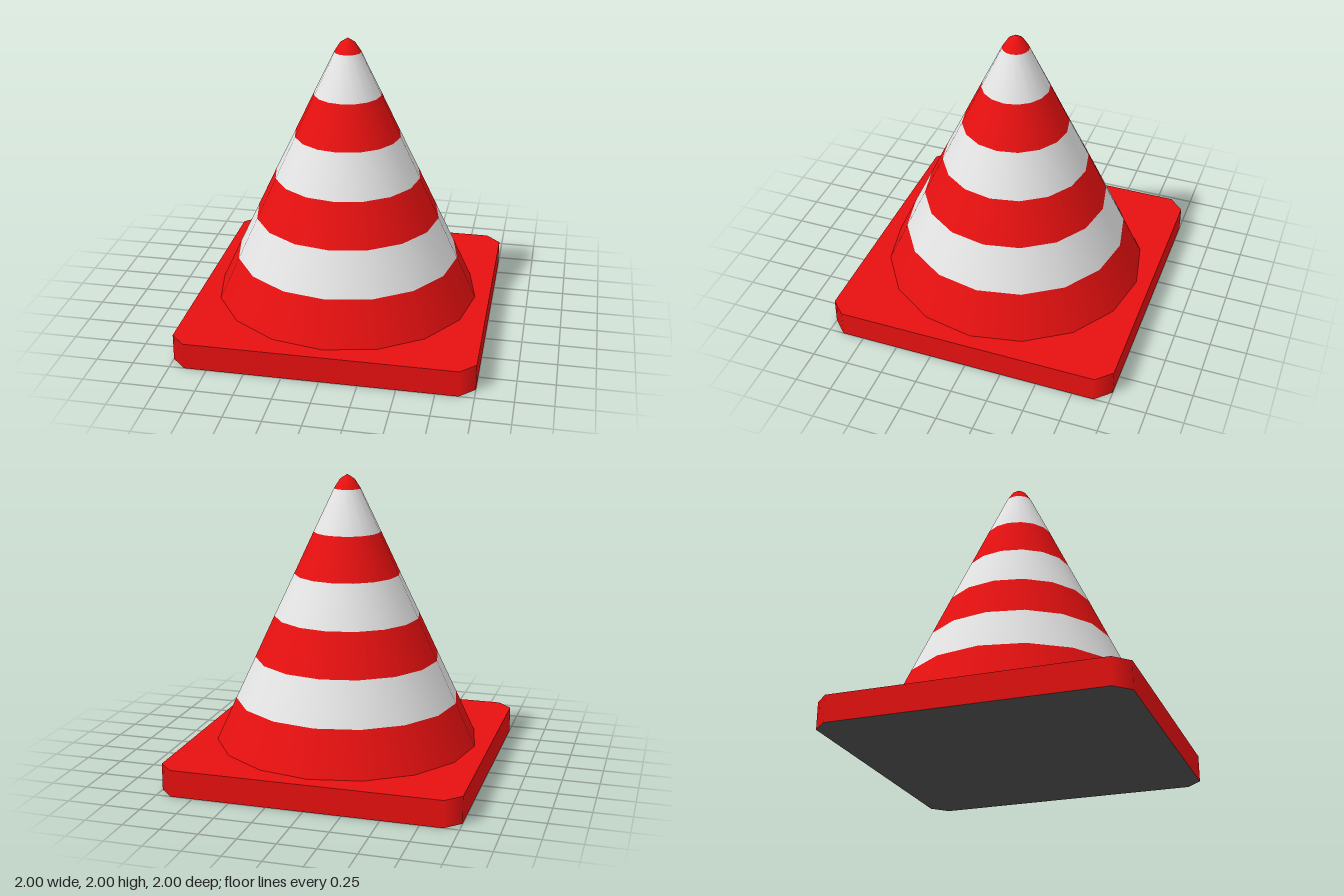
import * as THREE from 'three';

const mat = (name, color) => {
  const m = new THREE.MeshStandardMaterial({ color });
  m.name = name;
  return m;
};

export function createModel() {
  const red = mat('red', 0xe81010);
  const white = mat('white', 0xe5e5e5);
  const dark = mat('dark underside', 0x525252);
  const group = new THREE.Group();
  group.name = 'trafficCone';

  const add = (name, geometry, material) => {
    const mesh = new THREE.Mesh(geometry, material);
    mesh.name = name;
    group.add(mesh);
  };
  const lathe = (points) =>
    new THREE.LatheGeometry(points.map(([r, y]) => new THREE.Vector2(r, y)), 16);

  // Square base plate with cut corners
  const outline = [[0.9, -1], [1, -0.9], [1, 0.9], [0.9, 1], [-0.9, 1], [-1, 0.9], [-1, -0.9], [-0.9, -1]];
  const shape = new THREE.Shape(outline.map(([x, y]) => new THREE.Vector2(x, y)));
  const base = new THREE.ExtrudeGeometry(shape, { depth: 0.18, bevelEnabled: false });
  base.rotateX(-Math.PI / 2);

  // Corner cuts blend smoothly between the neighbouring flat sides
  const p = base.attributes.position, n = base.attributes.normal;
  for (let i = 0; i < p.count; i++) {
    if (Math.abs(n.getY(i)) > 0.5) continue;
    const x = p.getX(i), z = p.getZ(i);
    if (Math.abs(x) > Math.abs(z)) n.setXYZ(i, Math.sign(x), 0, 0);
    else n.setXYZ(i, 0, 0, Math.sign(z));
  }

  // The first lid (six triangles) is the underside
  base.clearGroups();
  base.addGroup(0, 18, 1);
  base.addGroup(18, p.count - 18, 0);
  add('base', base, [red, dark]);

  // Tapering body in alternating bands
  const rings = [[0.9, 0.18], [0.765, 0.473], [0.63, 0.76], [0.497, 1.045], [0.36, 1.333], [0.227, 1.617], [0.09, 1.905]];
  for (let i = 0; i < rings.length - 1; i++) {
    add(`band${i + 1}`, lathe([rings[i], rings[i + 1]]), i % 2 ? white : red);
  }

  // Rounded tip
  add('tip', lathe([[0.09, 1.905], [0.05, 1.967], [0, 2]]), red);

  return group;
}
